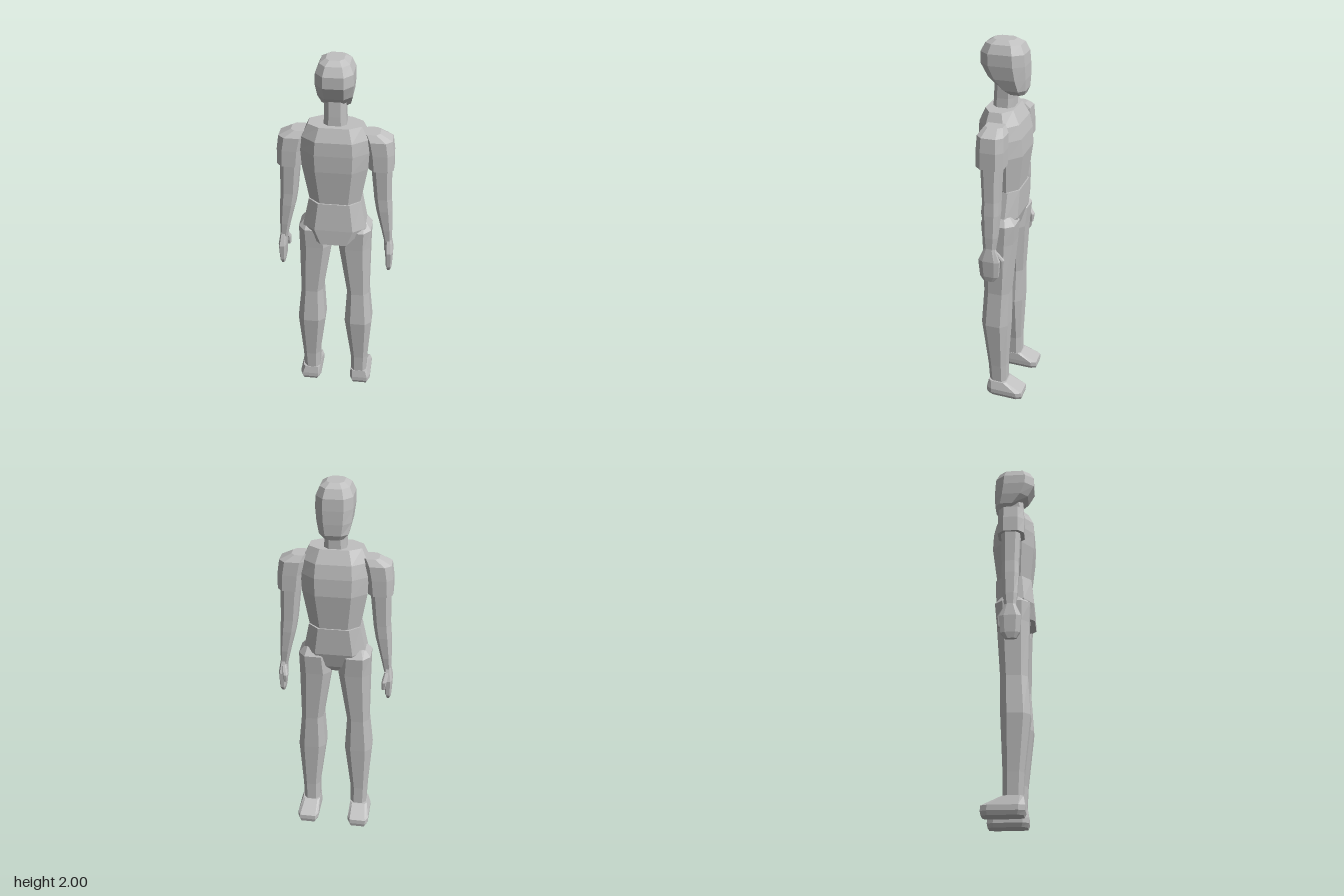
import * as THREE from 'three';

const grey = new THREE.MeshStandardMaterial({ color: 0xc0c0c0 });
grey.name = 'plain grey';

// Lofts chamfered rectangles, listed bottom to top as [y, x0, x1, z0, z1].
// kx and kz are the share of each half side cut off at the corners.
function loft(name, rings, side = 1, kx = 0.45, kz = 0.45) {
  const loops = rings.map(([y, a, b, z0, z1]) => {
    const x0 = side > 0 ? a : -b, x1 = side > 0 ? b : -a;
    const cx = (x1 - x0) / 2 * kx, cz = (z1 - z0) / 2 * kz;
    return [
      [x0 + cx, z1], [x1 - cx, z1], [x1, z1 - cz], [x1, z0 + cz],
      [x1 - cx, z0], [x0 + cx, z0], [x0, z0 + cz], [x0, z1 - cz],
    ].map(([x, z]) => [x, y, z]);
  });
  const pos = [];
  const tri = (...points) => points.forEach((p) => pos.push(...p));
  for (let r = 0; r < loops.length - 1; r++) {
    const low = loops[r], up = loops[r + 1];
    for (let i = 0; i < 8; i++) {
      const j = (i + 1) % 8;
      tri(low[i], low[j], up[j]);
      tri(low[i], up[j], up[i]);
    }
  }
  const bottom = loops[0], top = loops[loops.length - 1];
  for (let i = 1; i < 7; i++) {
    tri(bottom[0], bottom[i + 1], bottom[i]);
    tri(top[0], top[i], top[i + 1]);
  }
  const geometry = new THREE.BufferGeometry();
  geometry.setAttribute('position', new THREE.Float32BufferAttribute(pos, 3));
  geometry.computeVertexNormals();
  const mesh = new THREE.Mesh(geometry, grey);
  mesh.name = name;
  return mesh;
}

// Ring centred on x = 0
const mid = (y, w, z0, z1) => [y, -w, w, z0, z1];

export function createModel() {
  const model = new THREE.Group();
  model.name = 'figure';

  // Head with the face towards -z and a rounded back
  model.add(loft('head', [
    mid(1.74, 0.045, -0.08, 0.0),
    mid(1.765, 0.07, -0.09, 0.035),
    mid(1.82, 0.083, -0.092, 0.095),
    mid(1.885, 0.09, -0.09, 0.13),
    mid(1.94, 0.088, -0.085, 0.13),
    mid(1.982, 0.07, -0.065, 0.108),
    mid(2.0, 0.042, -0.03, 0.075),
  ]));
  model.add(loft('neck', [
    mid(1.64, 0.058, -0.03, 0.075),
    mid(1.72, 0.052, -0.03, 0.072),
    mid(1.82, 0.052, -0.035, 0.065),
  ]));

  // Trunk
  model.add(loft('chest', [
    mid(1.25, 0.128, -0.07, 0.105),
    mid(1.45, 0.163, -0.095, 0.127),
    mid(1.54, 0.168, -0.09, 0.13),
    mid(1.61, 0.16, -0.075, 0.127),
    mid(1.675, 0.13, -0.04, 0.1),
  ], 1, 0.45, 0.55));
  model.add(loft('pelvis', [
    mid(0.985, 0.035, -0.02, 0.065),
    mid(1.025, 0.11, -0.05, 0.127),
    mid(1.11, 0.162, -0.073, 0.125),
    mid(1.26, 0.132, -0.078, 0.112),
  ], 1, 0.4, 0.5));

  for (const side of [1, -1]) {
    const label = side > 0 ? 'left' : 'right';
    const add = (part, rings, kx, kz) =>
      model.add(loft(label + part, rings, side, kx, kz));

    // Leg and shoe
    add('Leg', [
      [0.07, 0.092, 0.18, -0.03, 0.065],
      [0.2, 0.09, 0.185, -0.03, 0.072],
      [0.48, 0.055, 0.204, -0.042, 0.104],
      [0.68, 0.066, 0.184, -0.045, 0.092],
      [0.98, 0.02, 0.185, -0.065, 0.1],
      [1.09, 0.03, 0.187, -0.075, 0.106],
      [1.13, 0.09, 0.155, -0.045, 0.065],
    ]);
    add('Foot', [
      [0, 0.095, 0.196, -0.127, 0.068],
      [0.02, 0.086, 0.204, -0.131, 0.076],
      [0.045, 0.086, 0.204, -0.129, 0.076],
      [0.09, 0.09, 0.188, -0.035, 0.068],
    ], 0.25, 0.3);

    // Sleeve capping the shoulder
    add('Sleeve', [
      [1.445, 0.165, 0.288, -0.053, 0.085],
      [1.53, 0.155, 0.286, -0.053, 0.085],
      [1.6, 0.14, 0.276, -0.05, 0.082],
      [1.632, 0.135, 0.215, -0.03, 0.06],
    ]);

    // Arm, hand and thumb
    add('Arm', [
      [0.99, 0.258, 0.292, -0.012, 0.04],
      [1.08, 0.238, 0.292, -0.024, 0.05],
      [1.2, 0.208, 0.287, -0.03, 0.056],
      [1.27, 0.196, 0.281, -0.03, 0.056],
      [1.48, 0.174, 0.276, -0.036, 0.066],
    ]);
    add('Hand', [
      [0.83, 0.274, 0.294, -0.01, 0.045],
      [0.86, 0.268, 0.3, -0.033, 0.062],
      [0.95, 0.262, 0.303, -0.04, 0.07],
      [1.02, 0.262, 0.292, -0.012, 0.04],
    ]);
    add('Thumb', [
      [0.905, 0.252, 0.27, -0.05, -0.025],
      [0.95, 0.25, 0.276, -0.056, -0.015],
      [0.995, 0.262, 0.284, -0.025, 0.005],
    ]);
  }
  return model;
}
